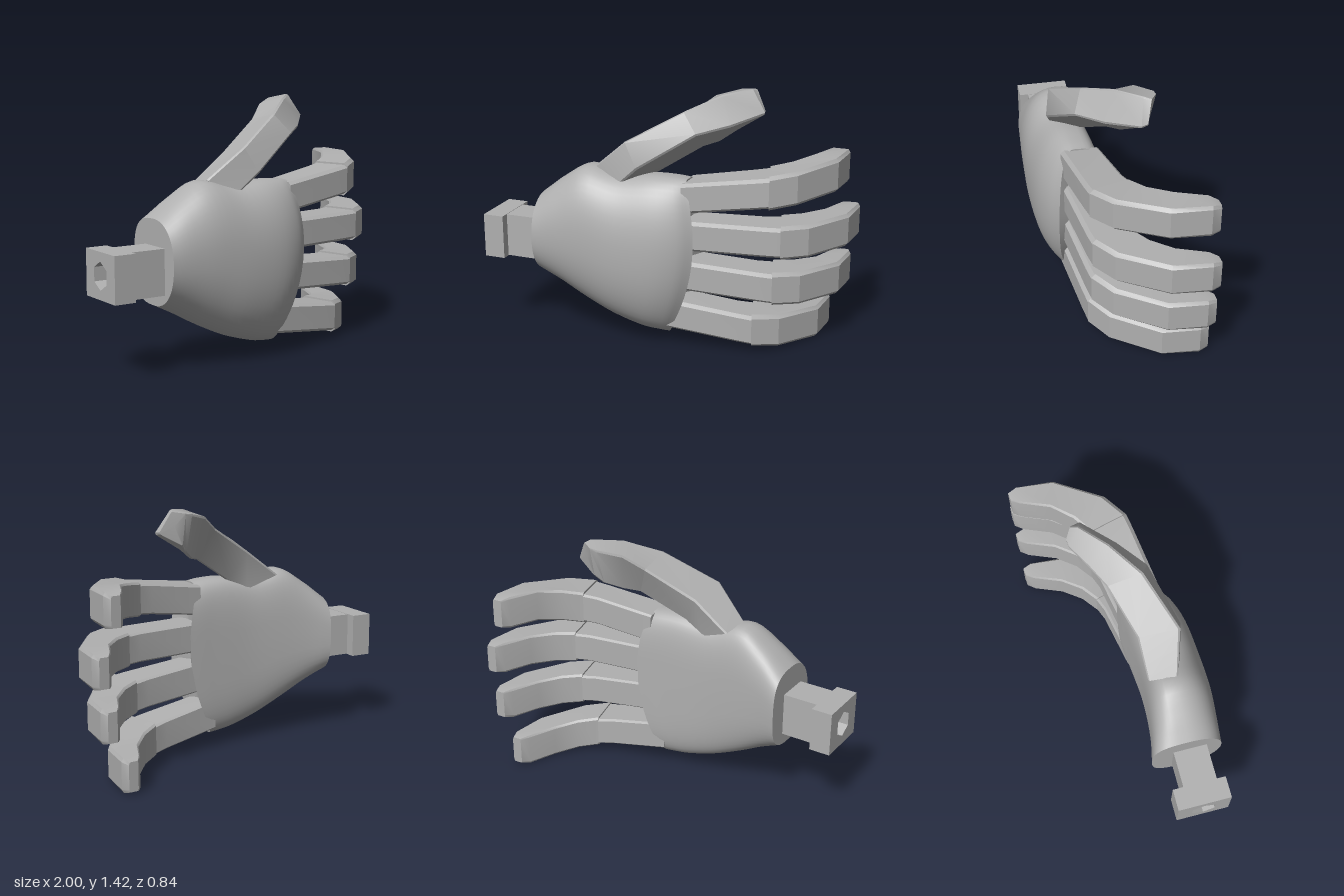
import * as THREE from 'three';
import { toCreasedNormals } from 'three/addons/utils/BufferGeometryUtils.js';

const V = (x, y, z) => new THREE.Vector3(x, y, z);

// Skin a list of closed rings and cap both ends; triangles always face outward.
function loft(rings, crease) {
  const tris = [];
  const n = rings[0].length;
  for (let i = 0; i < rings.length - 1; i++) {
    for (let j = 0; j < n; j++) {
      const k = (j + 1) % n;
      const a = rings[i][j], b = rings[i][k], c = rings[i + 1][k], d = rings[i + 1][j];
      tris.push([a, b, c], [a, c, d]);
    }
  }
  const cap = (ring, flip) => {
    const mid = ring.reduce((s, p) => s.add(p), V(0, 0, 0)).divideScalar(n);
    ring.forEach((p, j) => {
      const q = ring[(j + 1) % n];
      tris.push(flip ? [mid, q, p] : [mid, p, q]);
    });
  };
  cap(rings[0], true);
  cap(rings[rings.length - 1], false);
  const volume = tris.reduce((s, [a, b, c]) => s + a.dot(b.clone().cross(c)), 0);
  const pos = [];
  for (const [a, b, c] of tris) {
    for (const p of volume > 0 ? [a, b, c] : [a, c, b]) pos.push(p.x, p.y, p.z);
  }
  const geo = new THREE.BufferGeometry();
  geo.setAttribute('position', new THREE.Float32BufferAttribute(pos, 3));
  return toCreasedNormals(geo, crease);
}

// Cut the corners of a four-cornered ring.
function chamfer(corners, amounts) {
  const ring = [];
  corners.forEach((p, i) => {
    const t = amounts[i];
    ring.push(p.clone().lerp(corners[(i + 3) % 4], t), p.clone().lerp(corners[(i + 1) % 4], t));
  });
  return ring;
}

// Rounded hand shell with a flatter palm side and a bowed knuckle edge.
function palmGeometry() {
  // u along the hand, bottom y, top y, back z, front z
  const rows = [
    [0, 0.36, 0.82, 0.0, 0.40],
    [0.15, 0.295, 0.92, 0.03, 0.41],
    [0.33, 0.215, 1.0, 0.05, 0.42],
    [0.55, 0.14, 0.965, 0.06, 0.42],
    [0.78, 0.09, 0.98, 0.05, 0.40],
    [0.92, 0.075, 0.978, 0.04, 0.355],
    [1, 0.07, 0.97, 0.035, 0.295],
  ];
  const heights = new THREE.CatmullRomCurve3(rows.map((r) => V(r[0], r[1], r[2])), false, 'catmullrom');
  const depths = new THREE.CatmullRomCurve3(rows.map((r) => V(r[3], r[4], 0)), false, 'catmullrom');
  const rings = [];
  const steps = 24, sides = 48, zc = 0.2;
  for (let i = 0; i <= steps; i++) {
    const { x: u, y: bottom, z: top } = heights.getPoint(i / steps);
    const { x: zBack, y: zFront } = depths.getPoint(i / steps);
    const ring = [];
    for (let j = 0; j < sides; j++) {
      const a = (j / sides) * Math.PI * 2;
      const c = Math.cos(a), s = Math.sin(a);
      const e = s > 0 ? 2 / 2.2 : 2 / (3 + u);
      const y = (top + bottom) / 2 + ((top - bottom) / 2) * Math.sign(c) * Math.abs(c) ** e;
      const z = zc + (s > 0 ? zFront - zc : zBack - zc) * Math.abs(s) ** e;
      const end = 0.24 - 0.55 * (y - 0.62) ** 2;
      ring.push(V(-0.68 + u * (end + 0.68), y, z));
    }
    rings.push(ring);
  }
  return loft(rings, 0.7);
}

// Finger outline seen from above, after the root: front x, front z, back x, back z
const OUTLINE = [
  [0.62, 0.21, 0.56, 0.0],
  [0.70, 0.195, 0.64, -0.03],
  [0.83, 0.1, 0.74, -0.1],
  [0.985, -0.16, 0.83, -0.21],
  [1.0, -0.37, 0.895, -0.37],
  [0.98, -0.42, 0.925, -0.415],
];

// Root section inside the palm followed by the shifted outline.
const fingerSections = (root, shift) => [
  [root, 0.27, root, 0.06],
  ...OUTLINE.map(([fx, fz, bx, bz]) => [fx + shift, fz, bx + shift, bz]),
];

function fingerGeometry(sections, y0, y1, half) {
  const rings = sections.map(([fx, fz, bx, bz]) => {
    const mid = y0 + (y1 - y0) * ((fx - 0.2) / 0.74);
    const h = fz < -0.4 ? half - 0.012 : half;
    return chamfer([
      V(fx, mid + h, fz), V(fx, mid - h, fz),
      V(bx, mid - h, bz), V(bx, mid + h, bz),
    ], [0.1, 0.1, 0.06, 0.06]);
  });
  return loft(rings, 0.4);
}

// Thumb sections: top front, bottom front, bottom back, top back
const THUMB = [
  [[-0.36, 1.0, 0.22], [-0.2, 0.92, 0.28], [-0.15, 0.9, 0.1], [-0.34, 0.98, 0.06]],
  [[-0.16, 1.17, 0.28], [-0.08, 1.03, 0.31], [-0.04, 0.96, 0.12], [-0.14, 1.13, 0.05]],
  [[0.13, 1.33, 0.15], [0.22, 1.22, 0.2], [0.2, 1.11, 0.02], [0.12, 1.29, -0.05]],
  [[0.3, 1.405, 0.01], [0.37, 1.25, 0.07], [0.27, 1.13, -0.04], [0.22, 1.37, -0.12]],
  [[0.43, 1.425, -0.12], [0.515, 1.295, -0.095], [0.34, 1.18, -0.125], [0.34, 1.4, -0.195]],
  [[0.445, 1.415, -0.16], [0.505, 1.3, -0.13], [0.38, 1.23, -0.16], [0.38, 1.405, -0.198]],
];

function thumbGeometry(from, to) {
  return loft(THUMB.slice(from, to + 1).map((section) =>
    chamfer(section.map((p) => V(...p)), [0.05, 0.05, 0.05, 0.05])), 0.55);
}

// Square wrist block with a hexagonal socket running through it.
function blockGeometry() {
  const shape = new THREE.Shape([[-0.15, -0.125], [0.15, -0.125], [0.15, 0.125], [-0.15, 0.125]]
    .map((p) => new THREE.Vector2(...p)));
  const hex = [];
  for (let i = 0; i < 6; i++) {
    const a = Math.PI / 2 - (i * Math.PI) / 3;
    hex.push(new THREE.Vector2(Math.cos(a) * 0.075, Math.sin(a) * 0.075));
  }
  shape.holes.push(new THREE.Path(hex));
  const geo = new THREE.ExtrudeGeometry(shape, { depth: 0.12, bevelEnabled: false });
  return geo.rotateY(Math.PI / 2).translate(-1, 0.555, 0.21);
}

export function createModel() {
  const model = new THREE.Group();
  model.name = 'hand';
  const grey = new THREE.MeshStandardMaterial({ color: 0xb0b0b0 });
  grey.name = 'plain grey';
  const add = (name, geometry, parent = model) => {
    const mesh = new THREE.Mesh(geometry, grey);
    mesh.name = name;
    parent.add(mesh);
  };

  add('palm', palmGeometry());

  // Wrist connector
  add('wristBlock', blockGeometry());
  add('wristShaft', new THREE.BoxGeometry(0.26, 0.246, 0.19).translate(-0.75, 0.555, 0.215));

  // Four fingers: root x, x shift, centre height at the base and at the tip
  const fingers = [
    ['indexFinger', 0.16, -0.07, 0.88, 0.975],
    ['middleFinger', 0.18, 0, 0.665, 0.665],
    ['ringFinger', 0.15, -0.04, 0.43, 0.377],
    ['littleFinger', 0.07, -0.15, 0.18, 0.083],
  ];
  for (const [name, root, shift, y0, y1] of fingers) {
    const finger = new THREE.Group();
    finger.name = name;
    const sections = fingerSections(root, shift);
    add(name + 'Base', fingerGeometry(sections.slice(0, 3), y0, y1, 0.084), finger);
    add(name + 'Tip', fingerGeometry(sections.slice(2), y0, y1, 0.094), finger);
    model.add(finger);
  }

  // Thumb
  const thumb = new THREE.Group();
  thumb.name = 'thumb';
  add('thumbBase', thumbGeometry(0, 2), thumb);
  add('thumbTip', thumbGeometry(2, 5), thumb);
  model.add(thumb);

  return model;
}
